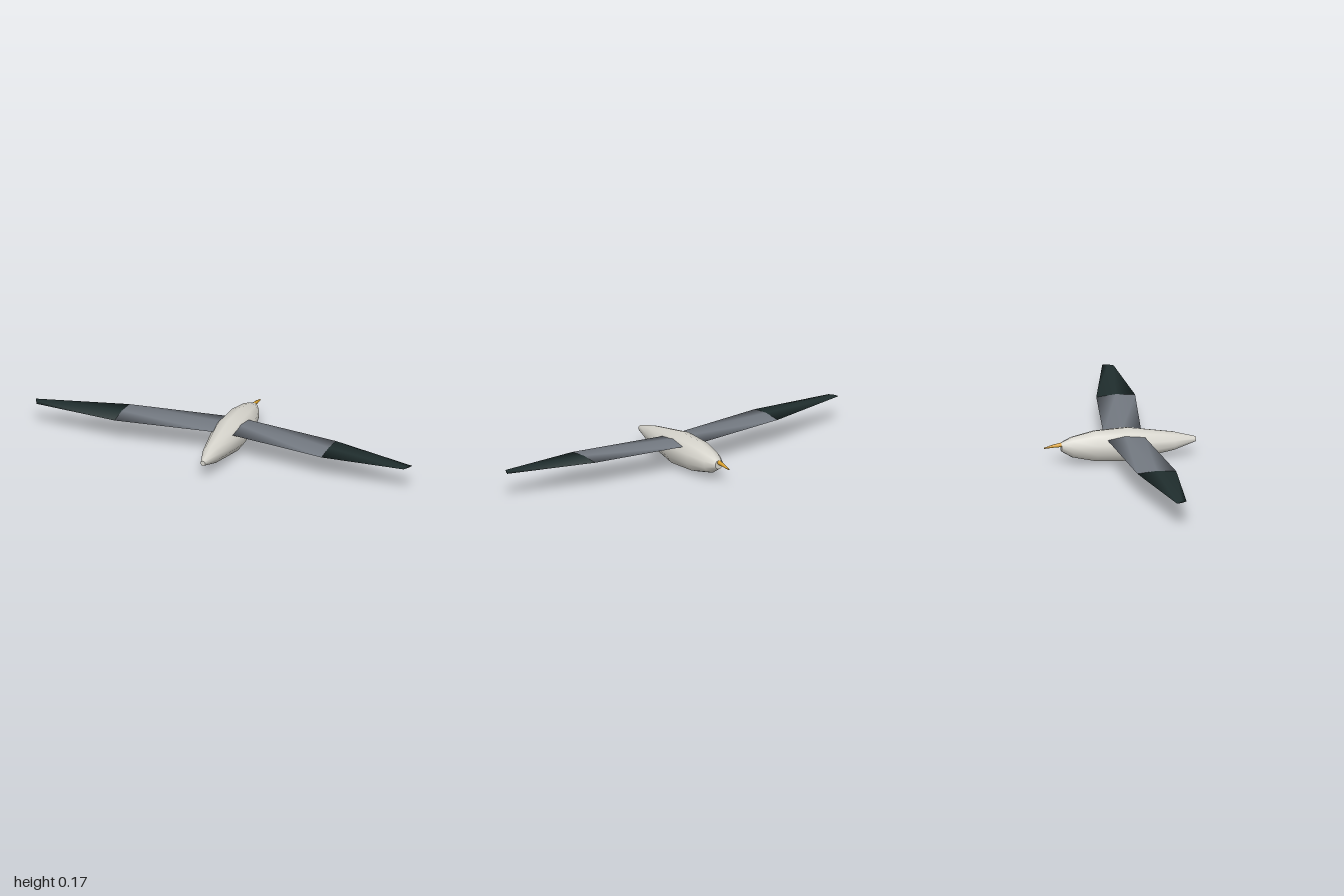
import * as THREE from 'three';

const paint = (name, color) => {
  const m = new THREE.MeshStandardMaterial({ color });
  m.name = name;
  return m;
};

// Skin a list of rings (counter-clockwise seen from the last ring), smooth sides and flat end caps
function loft(rings) {
  const n = rings[0].length, pos = [], idx = [];
  rings.forEach(r => r.forEach(p => pos.push(...p)));
  for (let i = 0; i < rings.length - 1; i++) {
    for (let j = 0; j < n; j++) {
      const a = i * n + j, b = i * n + (j + 1) % n;
      idx.push(a, b, b + n, a, b + n, a + n);
    }
  }
  [[...rings[0]].reverse(), rings[rings.length - 1]].forEach(cap => {
    const start = pos.length / 3;
    cap.forEach(p => pos.push(...p));
    for (let j = 1; j < n - 1; j++) idx.push(start, start + j, start + j + 1);
  });
  const g = new THREE.BufferGeometry();
  g.setAttribute('position', new THREE.Float32BufferAttribute(pos, 3));
  g.setIndex(idx);
  g.computeVertexNormals();
  return g;
}

// Ten-sided upright ring at depth z
const roundRing = (z, y, r) => Array.from({ length: 10 }, (_, k) => {
  const a = Math.PI / 2 + k * Math.PI / 5;
  return [Math.cos(a) * r, y + Math.sin(a) * r, z];
});

// Diamond wing section: leading point, trailing point and half thickness
function wingRing(side, [xl, zl, xt, zt, h]) {
  const y = 0.136, xm = (xl + xt) / 2, zm = (zl + zt) / 2;
  const ring = [
    [side * xm, y + h, zm], [side * xt, y, zt],
    [side * xm, y - h, zm], [side * xl, y, zl],
  ];
  return side > 0 ? ring : ring.reverse();
}

export function createModel() {
  const model = new THREE.Group();
  const white = paint('plumage white', 0xd6d4cc);
  const grey = paint('wing grey', 0x737981);
  const dark = paint('wingtip dark', 0x202e2e);
  const yellow = paint('beak yellow', 0xd9a02c);

  const add = (name, geometry, material) => {
    const mesh = new THREE.Mesh(geometry, material);
    mesh.name = name;
    model.add(mesh);
  };

  // Body from head to tail: z, centre height, radius
  add('body', loft([
    [-0.295, 0.095, 0.023], [-0.24, 0.09, 0.053], [-0.125, 0.089, 0.079],
    [0.04, 0.0885, 0.0865], [0.27, 0.0905, 0.047], [0.38, 0.093, 0.013],
  ].map(s => roundRing(...s))), white);

  // Beak, drooping slightly towards its tip
  add('beak', loft([
    [-0.38, 0.0935, 0.003], [-0.34, 0.101, 0.0075], [-0.28, 0.108, 0.0125],
  ].map(s => roundRing(...s))), yellow);

  // Wings, swept back, with dark outer panels
  const root = [0.04, -0.075, 0.04, 0.115, 0.014];
  const wrist = [0.55, -0.015, 0.55, 0.18, 0.009];
  const tip = [1, 0.1, 0.975, 0.152, 0.002];
  for (const [label, side] of [['left', 1], ['right', -1]]) {
    add(label + 'InnerWing', loft([root, wrist].map(s => wingRing(side, s))), grey);
    add(label + 'WingTip', loft([wrist, tip].map(s => wingRing(side, s))), dark);
  }
  return model;
}
